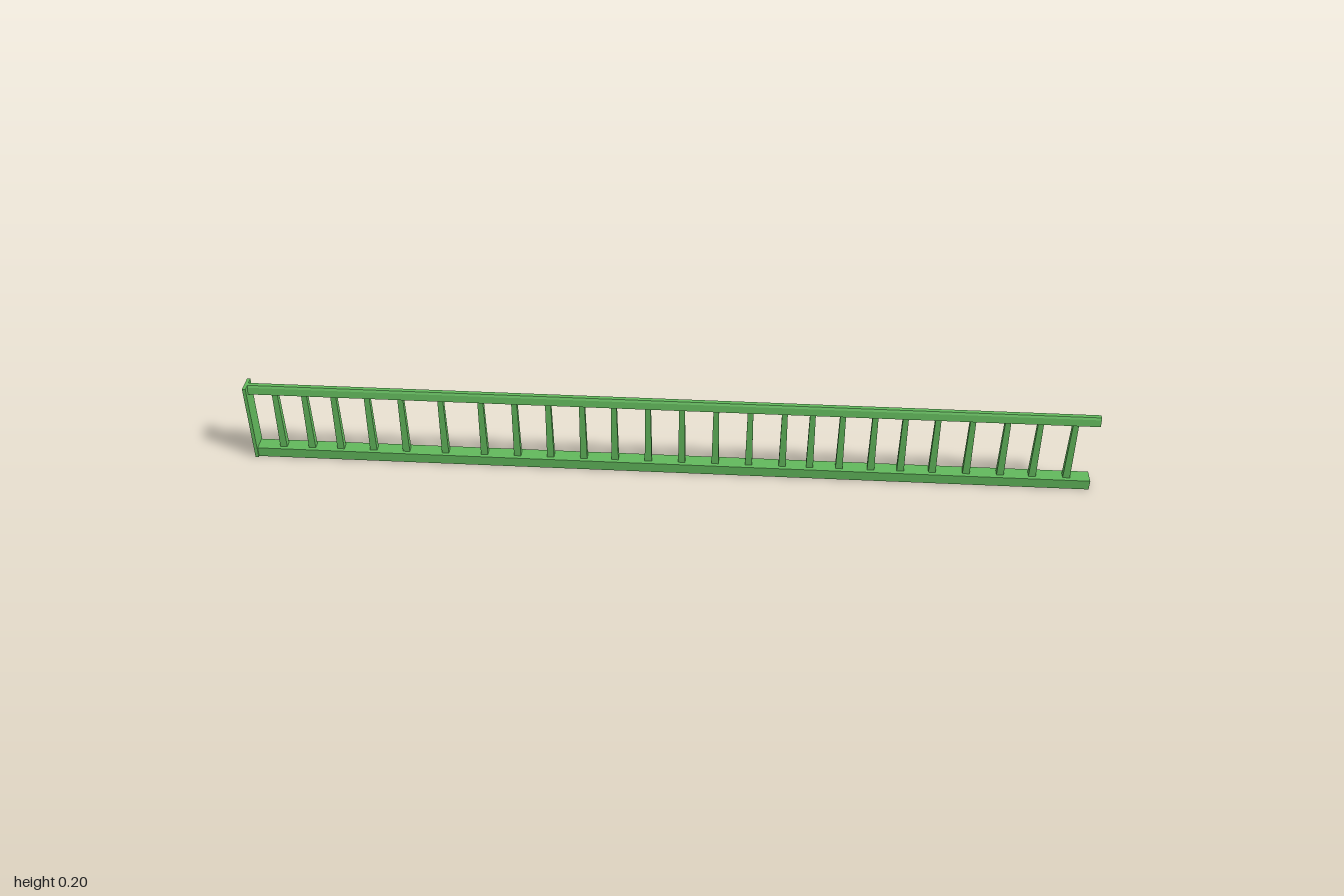
import * as THREE from 'three';

const green = new THREE.MeshStandardMaterial({ color: 0x62b85c, flatShading: true });

// Extrude a mirrored half profile of [z, y] points along x.
function rail(name, half, x0, x1) {
  const points = [...half, ...half.map(([z, y]) => [-z, y]).reverse()];
  const shape = new THREE.Shape(points.map(([z, y]) => new THREE.Vector2(z, y)));
  const geo = new THREE.ExtrudeGeometry(shape, { depth: x1 - x0, bevelEnabled: false });
  geo.rotateY(Math.PI / 2);
  const mesh = new THREE.Mesh(geo, green);
  mesh.name = name;
  mesh.position.x = x0;
  return mesh;
}

// Square post that narrows towards the top.
function balusterGeometry(y0, y1, bottomHalf, topHalf) {
  const geo = new THREE.CylinderGeometry(topHalf * Math.SQRT2, bottomHalf * Math.SQRT2, y1 - y0, 4, 1);
  geo.rotateY(Math.PI / 4);
  geo.translate(0, (y0 + y1) / 2, 0);
  return geo;
}

export function createModel() {
  const model = new THREE.Group();
  model.name = 'balustrade';

  // Handrail with sloping sides and chamfered top, and the base rail
  model.add(rail('handrail', [[0.011, 0.18], [0.008, 0.197], [0.005, 0.202]], -0.995, 1));
  model.add(rail('baseRail', [[0.018, 0], [0.018, 0.025]], -0.995, 1));

  // End plate on the right side only
  const plate = new THREE.Mesh(new THREE.BoxGeometry(0.008, 0.202, 0.044), green);
  plate.name = 'endPlate';
  plate.position.set(-0.996, 0.101, 0);
  model.add(plate);

  // Unevenly spaced balusters
  const balusters = new THREE.Group();
  balusters.name = 'balusters';
  const geo = balusterGeometry(0.02, 0.185, 0.0085, 0.0065);
  const xs = [
    -0.93, -0.86, -0.79, -0.71, -0.63, -0.535, -0.44, -0.36, -0.28, -0.2, -0.125, -0.045, 0.035,
    0.115, 0.195, 0.275, 0.34, 0.41, 0.485, 0.555, 0.63, 0.71, 0.79, 0.865, 0.945,
  ];
  xs.forEach((x, i) => {
    const post = new THREE.Mesh(geo, green);
    post.name = `baluster${i + 1}`;
    post.position.x = x;
    balusters.add(post);
  });
  model.add(balusters);

  return model;
}
